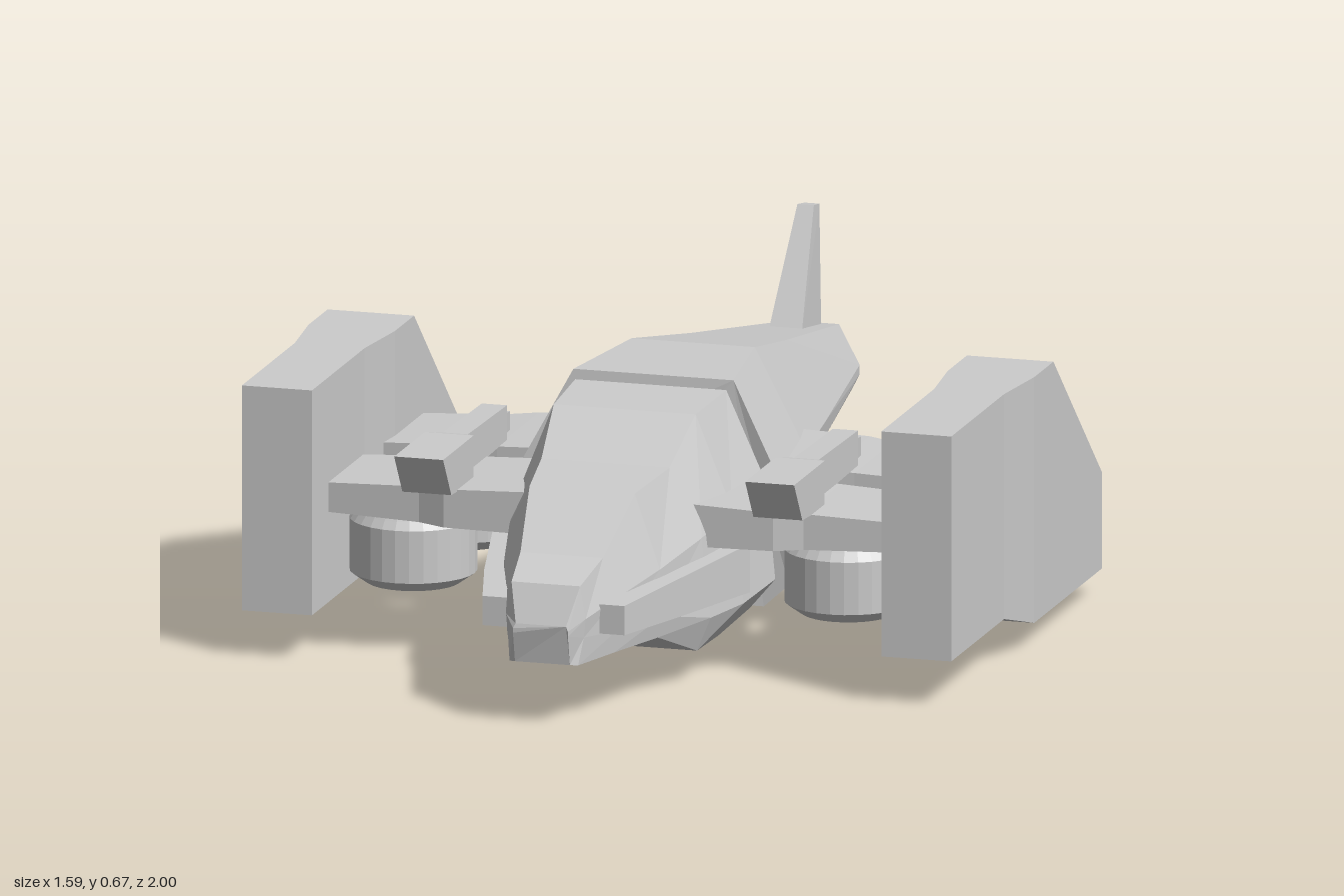
import * as THREE from 'three';

const grey = () => new THREE.MeshStandardMaterial({ color: 0xcccccc, flatShading: true, side: THREE.DoubleSide });

// Skin a row of equal-sized convex rings, cap both ends, and face it outward.
function loft(name, rings) {
  const n = rings[0].length, tris = [];
  for (let i = 0; i < rings.length - 1; i++) {
    for (let j = 0; j < n; j++) {
      const k = (j + 1) % n, a = rings[i], b = rings[i + 1];
      tris.push([a[j], a[k], b[k]], [a[j], b[k], b[j]]);
    }
  }
  const first = rings[0], last = rings[rings.length - 1];
  for (let j = 1; j < n - 1; j++) {
    tris.push([first[0], first[j + 1], first[j]], [last[0], last[j], last[j + 1]]);
  }
  let volume = 0;
  const v = (p) => new THREE.Vector3(...p);
  for (const [a, b, c] of tris) volume += v(a).dot(v(b).cross(v(c)));
  const pos = tris.flatMap(([a, b, c]) => (volume < 0 ? [a, c, b] : [a, b, c])).flat();
  const g = new THREE.BufferGeometry();
  g.setAttribute('position', new THREE.Float32BufferAttribute(pos, 3));
  g.computeVertexNormals();
  const mesh = new THREE.Mesh(g, grey());
  mesh.name = name;
  return mesh;
}

// Mirrored hull ring: half outline from top to bottom as [x, y, zOffset].
const hullRing = (z, ...half) => [
  ...half.map(([x, y, dz = 0]) => [x, y, z + dz]),
  ...half.slice().reverse().map(([x, y, dz = 0]) => [-x, y, z + dz]),
];
// Rectangles across the z axis, the x axis and the y axis.
const ringZ = (s) => ([z, x0, x1, y0, y1, lean = 0]) =>
  [[s * x0, y0, z - lean], [s * x1, y0, z - lean], [s * x1, y1, z], [s * x0, y1, z]];
const ringX = (s) => ([x, z0, z1, y0, y1]) =>
  [[s * x, y0, z0], [s * x, y0, z1], [s * x, y1, z1], [s * x, y1, z0]];

export function createModel() {
  const model = new THREE.Group();
  model.name = 'aircraft';

  // Cockpit, canopy and chin
  model.add(loft('frontFuselage', [
    hullRing(0.19, [0.165, 0.548], [0.25, 0.36], [0.275, 0.15], [0.22, 0.085]),
    hullRing(0.38, [0.155, 0.54], [0.235, 0.34], [0.26, 0.14], [0.205, 0.067]),
    hullRing(0.52, [0.14, 0.457], [0.21, 0.31], [0.23, 0.14], [0.2, 0.067]),
    hullRing(0.69, [0.115, 0.44], [0.17, 0.28], [0.175, 0.18], [0.165, 0.133]),
    hullRing(0.84, [0.09, 0.335], [0.12, 0.25], [0.12, 0.18], [0.115, 0.133]),
    hullRing(0.955, [0.075, 0.3], [0.087, 0.23], [0.083, 0.19], [0.075, 0.133, 0.015]),
    hullRing(0.995, [0.055, 0.22, -0.003], [0.06, 0.21], [0.06, 0.2], [0.06, 0.135, -0.015]),
  ]));

  // Rear hull and tail boom
  model.add(loft('rearFuselage', [
    hullRing(0.2, [0.175, 0.565, -0.03], [0.3, 0.33], [0.305, 0.14], [0.25, 0.09]),
    hullRing(-0.12, [0.135, 0.565], [0.247, 0.35], [0.245, 0.22], [0.21, 0.16]),
    hullRing(-0.45, [0.105, 0.5], [0.19, 0.33], [0.185, 0.29], [0.165, 0.265]),
    hullRing(-1, [0.055, 0.4], [0.1, 0.315], [0.1, 0.295], [0.085, 0.265]),
  ]));

  // Tail fin
  model.add(loft('tailFin', [
    [[-0.037, 0.42, -0.785], [0.037, 0.42, -0.785], [0.025, 0.39, -0.97], [-0.025, 0.39, -0.97]],
    [[-0.018, 0.668, -0.94], [0.018, 0.668, -0.94], [0.016, 0.66, -0.987], [-0.016, 0.66, -0.987]],
  ]));

  // Ribbed belly dome
  const dome = new THREE.Group();
  dome.name = 'bellyDome';
  dome.position.set(0, 0.19, -0.07);
  const shell = new THREE.Mesh(new THREE.SphereGeometry(1, 28, 18), grey());
  shell.material.flatShading = false;
  shell.name = 'domeShell';
  shell.scale.set(0.22, 0.162, 0.245);
  dome.add(shell);
  for (const x of [-0.13, 0, 0.13]) {
    const k = Math.sqrt(1 - (x / 0.22) ** 2);
    const ring = (dx, r) => Array.from({ length: 28 }, (_, i) => {
      const a = (i / 28) * Math.PI * 2;
      return [x + dx, Math.sin(a) * 0.19 * k * r, Math.cos(a) * 0.26 * k * r];
    });
    dome.add(loft('domeRib', [ring(-0.06, 0.8), ring(-0.035, 1), ring(0.035, 1), ring(0.06, 0.8)]));
  }
  model.add(dome);

  for (const s of [1, -1]) {
    const side = new THREE.Group();
    side.name = s > 0 ? 'leftSide' : 'rightSide';

    // Tall outer pod
    side.add(loft('outerPod', [
      [0.585, 0.622, 0.775, 0.1, 0.585],
      [0.2, 0.622, 0.775, 0.1, 0.585],
      [0.04, 0.604, 0.793, 0.055, 0.585],
      [-0.1, 0.604, 0.793, 0.055, 0.585],
      [-0.455, 0.604, 0.793, 0.055, 0.262],
    ].map(ringZ(s))));

    // Stub wings
    side.add(loft('rearWing', [
      [0.14, -0.2, 0.11, 0.285, 0.378],
      [0.36, -0.2, 0.11, 0.288, 0.37],
      [0.42, -0.18, 0.105, 0.29, 0.367],
      [0.63, -0.165, 0.1, 0.295, 0.358],
    ].map(ringX(s))));
    side.add(loft('frontWing', [
      [0.14, 0.2, 0.5, 0.285, 0.378],
      [0.36, 0.2, 0.5, 0.288, 0.37],
      [0.42, 0.205, 0.478, 0.29, 0.367],
      [0.63, 0.21, 0.465, 0.295, 0.358],
    ].map(ringX(s))));

    // Lift engines under the wings
    const profile = [[0, 0.14], [0.095, 0.14], [0.1, 0.128], [0.134, 0.152], [0.134, 0.265], [0.122, 0.282], [0.11, 0.3], [0, 0.3]];
    for (const z of [0.335, -0.035]) {
      const g = new THREE.LatheGeometry(profile.map(([r, y]) => new THREE.Vector2(r, y)), 28);
      const engine = new THREE.Mesh(g, grey());
      engine.name = 'liftEngine';
      engine.position.set(s * 0.475, 0, z);
      side.add(engine);
    }

    // Wing-top gun with an undercut muzzle and thin tail
    side.add(loft('gun', [
      [0.603, 0.33, 0.437, 0.37, 0.46, 0.06],
      [0.38, 0.33, 0.437, 0.36, 0.46],
      [0.335, 0.356, 0.411, 0.365, 0.45],
      [0.05, 0.356, 0.411, 0.37, 0.445],
    ].map(ringZ(s))));
    side.add(loft('gunTail', [
      [0.06, 0.356, 0.411, 0.385, 0.43],
      [0.02, 0.358, 0.409, 0.385, 0.425],
    ].map(ringZ(s))));

    // Cheek fairing beside the nose
    side.add(loft('cheekFairing', [
      [0.9, 0.09, 0.155, 0.187, 0.25],
      [0.72, 0.1, 0.205, 0.182, 0.262],
      [0.4, 0.1, 0.28, 0.17, 0.275],
    ].map(ringZ(s))));

    model.add(side);
  }
  return model;
}
